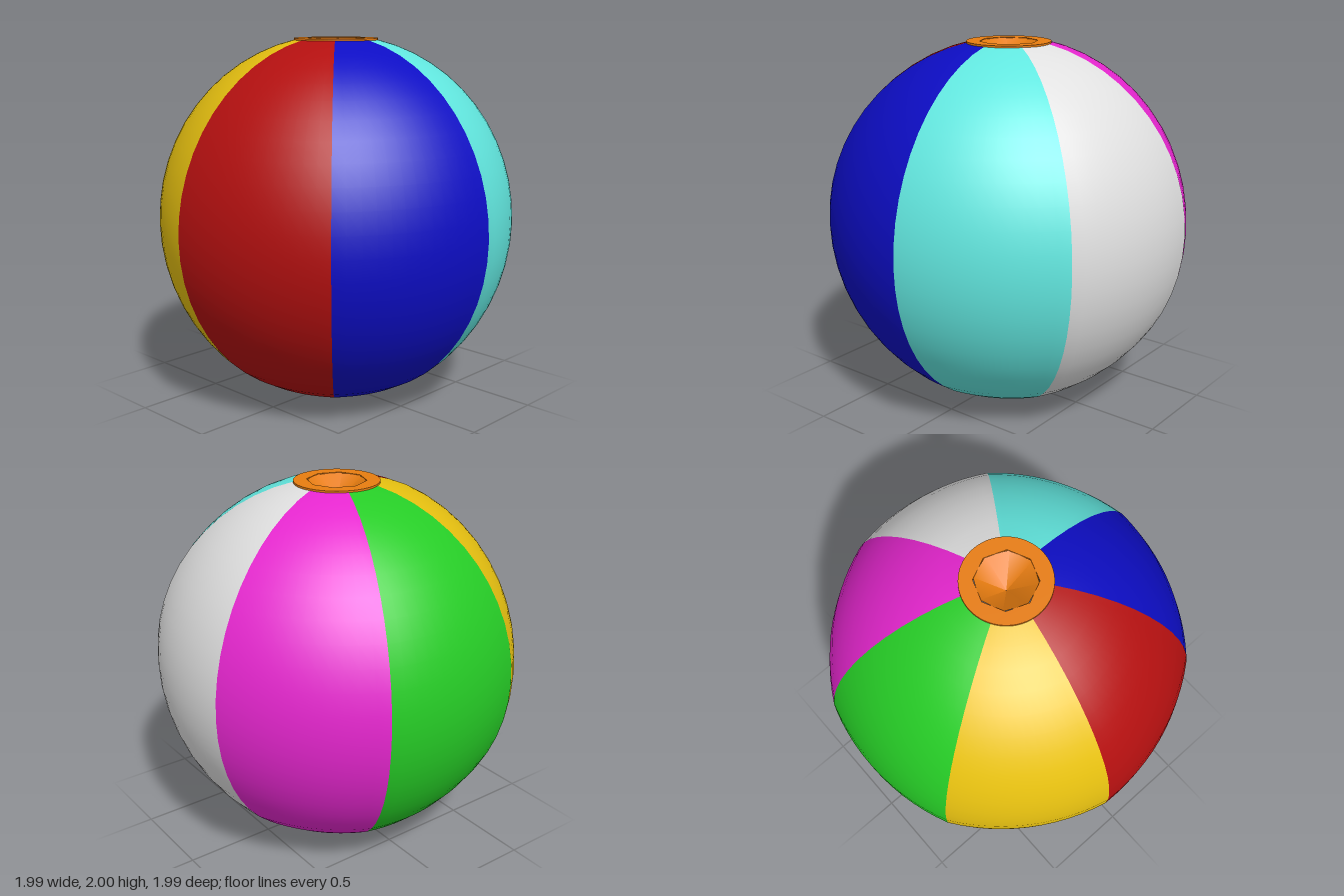
import * as THREE from 'three';

const CAP_R = 0.23, VALVE_R = 0.16, SEAM = -0.073;
const material = (name, color) => {
  const m = new THREE.MeshStandardMaterial({ color });
  m.name = name;
  return m;
};

// One gore: a sphere slice that is slightly flatter in its middle than at its seams
function panelGeometry(start, step) {
  const theta = Math.asin(CAP_R - 0.01);
  const geo = new THREE.SphereGeometry(1, 12, 24, Math.PI - start - step, step, theta, Math.PI - 2 * theta);
  const p = geo.attributes.position;
  for (let i = 0; i < p.count; i++) {
    const x = p.getX(i), z = p.getZ(i);
    let a = Math.atan2(z, x) - start - step / 2;
    a = Math.atan2(Math.sin(a), Math.cos(a));
    const r = 0.987 + 0.02 * (a / (step / 2)) ** 2;
    p.setXYZ(i, x * r, p.getY(i) * 1.018, z * r);
  }
  geo.computeVertexNormals();
  return geo;
}

export function createModel() {
  const ball = new THREE.Group();
  ball.name = 'beachBall';
  const add = (name, geo, mat, y = 1) => {
    const mesh = new THREE.Mesh(geo, mat);
    mesh.name = name;
    mesh.position.set(-0.008, y, -0.008);
    ball.add(mesh);
    return mesh;
  };

  // Seven coloured panels around the vertical axis
  const colours = [
    ['blue', 0x0d0dc4], ['red', 0xb41010], ['yellow', 0xe6c010], ['green', 0x26cc26],
    ['magenta', 0xe626cf], ['white', 0xe0e0e0], ['cyan', 0x62e8e0],
  ];
  const step = (Math.PI * 2) / colours.length;
  colours.forEach(([name, hex], i) =>
    add(name + 'Panel', panelGeometry(SEAM + i * step, step), material(name, hex)));

  const orange = material('orange', 0xe87d10);

  // Top cap: flat ring with an octagonal opening
  const ring = new THREE.Shape().absarc(0, 0, CAP_R, 0, Math.PI * 2);
  const hole = [];
  for (let i = 0; i < 8; i++) {
    const a = 0.04 + (i * Math.PI) / 4;
    hole.push(new THREE.Vector2(Math.cos(a) * VALVE_R, Math.sin(a) * VALVE_R));
  }
  ring.holes.push(new THREE.Path(hole));
  const capGeo = new THREE.ExtrudeGeometry(ring, { depth: 0.015, bevelEnabled: false, curveSegments: 32 });
  capGeo.rotateX(-Math.PI / 2);
  add('topCap', capGeo, orange, 1.985);

  // Valve dimple sunk into the top cap, its inner faces pointing up
  const dimple = new THREE.LatheGeometry(
    [new THREE.Vector2(VALVE_R, 0), new THREE.Vector2(0, -0.12)], 8);
  dimple.rotateY(-0.04);
  add('valveDimple', dimple, orange, 1.998);

  // Bottom cap
  add('bottomCap', new THREE.CylinderGeometry(CAP_R, CAP_R, 0.015, 48), orange, 0.0075);

  return ball;
}
